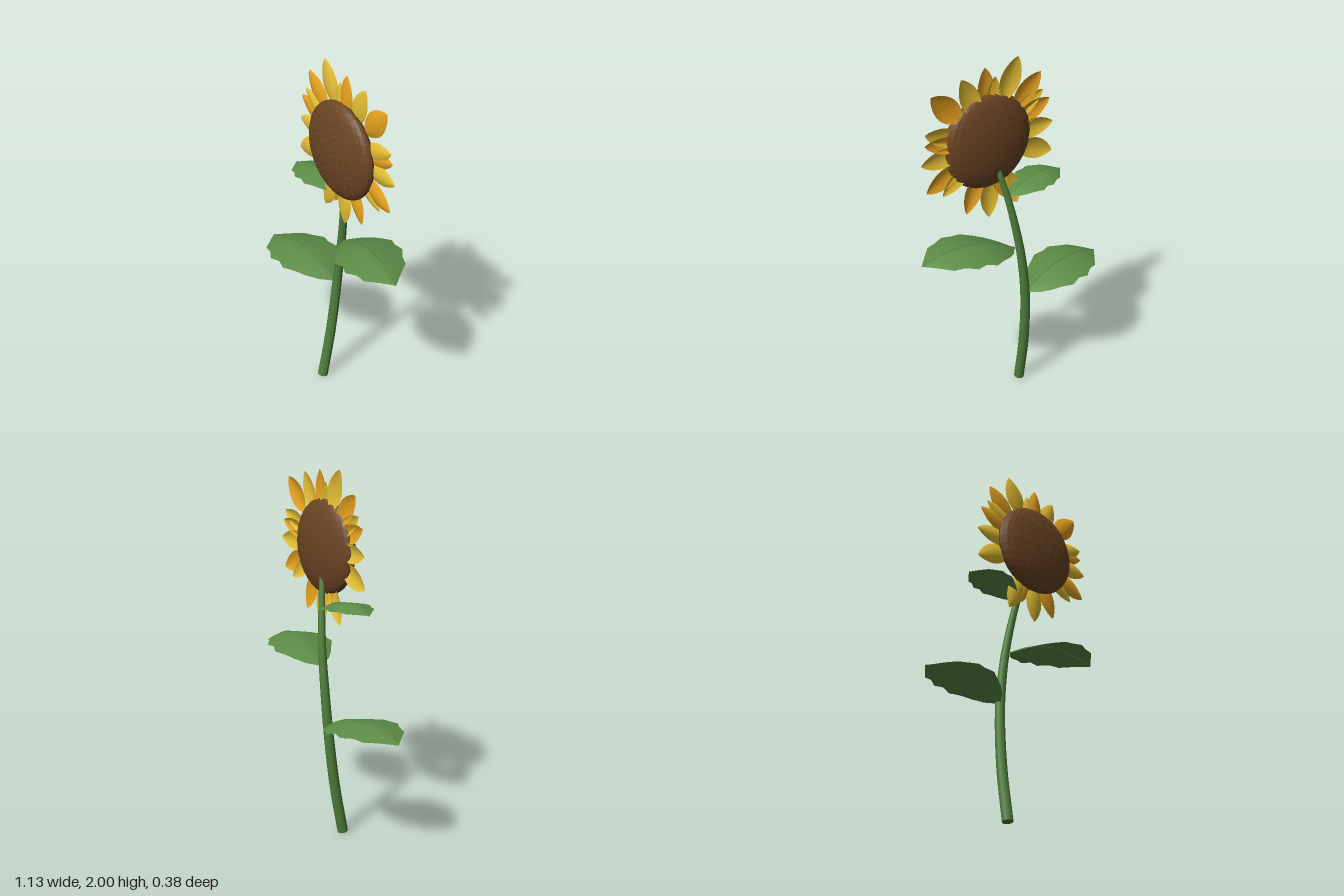
import * as THREE from 'three';

const mat = (name, color, extra = {}) => {
  const m = new THREE.MeshStandardMaterial({ color, ...extra });
  m.name = name;
  return m;
};

// Smooth surface from a rule f(u, v) -> [x, y, z], with u in 0..1 and v in -1..1
function sheet(nu, nv, f) {
  const pos = [], idx = [];
  for (let i = 0; i <= nu; i++)
    for (let j = 0; j <= nv; j++) pos.push(...f(i / nu, (2 * j) / nv - 1));
  for (let i = 0; i < nu; i++)
    for (let j = 0; j < nv; j++) {
      const a = i * (nv + 1) + j, b = a + nv + 1;
      idx.push(a, b, a + 1, b, b + 1, a + 1);
    }
  const g = new THREE.BufferGeometry();
  g.setAttribute('position', new THREE.Float32BufferAttribute(pos, 3));
  g.setIndex(idx);
  g.computeVertexNormals();
  return g;
}

// Half widths of the toothed leaf outline, from base to tip
const LEAF = [0, 0.075, 0.12, 0.15, 0.183, 0.167, 0.182, 0.145, 0.13, 0.065, 0];
function leafWidth(t) {
  const k = Math.min(Math.floor(t * 10 + 1e-6), 9);
  return THREE.MathUtils.lerp(LEAF[k], LEAF[k + 1], t * 10 - k);
}

export function createModel() {
  const model = new THREE.Group();
  const stemGreen = mat('stem green', 0x4f7f3c);
  const leafGreen = mat('leaf green', 0x5c8c46, { side: THREE.DoubleSide });
  const brown = mat('seed brown', 0x6b4423, { flatShading: true });
  const yellow = mat('petal yellow', 0xe6c035, { side: THREE.DoubleSide });
  const orange = mat('petal orange', 0xe8a420, { side: THREE.DoubleSide });
  const add = (name, geo, material, parent = model) => {
    const m = new THREE.Mesh(geo, material);
    m.name = name;
    parent.add(m);
    return m;
  };

  // Stem: curved tube, narrowed towards the flower
  const path = new THREE.CatmullRomCurve3([
    [-0.052, 0.004, 0.052], [-0.047, 0.3, 0.0], [-0.033, 0.62, -0.032], [-0.006, 0.87, -0.038],
    [0.02, 1.03, -0.033], [0.055, 1.22, -0.014], [0.1, 1.42, 0.018],
  ].map((p) => new THREE.Vector3(...p)));
  const SEG = 40, SIDES = 12;
  const tube = new THREE.TubeGeometry(path, SEG, 1, SIDES);
  const P = tube.attributes.position, v = new THREE.Vector3();
  for (let i = 0; i < P.count; i++) {
    const t = Math.floor(i / (SIDES + 1)) / SEG, c = path.getPointAt(t);
    v.fromBufferAttribute(P, i).sub(c).multiplyScalar(0.029 - 0.014 * t * t).add(c);
    P.setXYZ(i, v.x, v.y, v.z);
  }
  tube.computeVertexNormals();
  add('stem', tube, stemGreen);
  for (const t of [0, 1]) {
    const cap = add('stemEnd', new THREE.CircleGeometry(t ? 0.015 : 0.029, SIDES), stemGreen);
    cap.position.copy(path.getPointAt(t));
    cap.lookAt(path.getPointAt(t).addScaledVector(path.getTangentAt(t), t ? 1 : -1));
  }

  // Leaves: arched, with drooping toothed edges and a thin midrib
  const leaves = [
    ['lowerLeaf', -1, 1, [-0.035, 0.645, -0.03]],
    ['middleLeaf', 1, 1, [0.035, 0.957, -0.03]],
    ['upperLeaf', -1, 0.68, [0.055, 1.268, -0.008]],
  ];
  for (const [name, dir, s, base] of leaves) {
    const g = new THREE.Group();
    g.name = name;
    g.position.set(...base);
    g.scale.setScalar(s);
    model.add(g);
    const rib = (t) => [dir * 0.53 * t, 0.045 * t + 0.3 * t * (1 - t), 0.066 * t];
    add(name + 'Blade', sheet(20, 8, (t, q) => {
      const [x, y, z] = rib(t), w = leafWidth(t);
      return [x, y - 0.2 * w * Math.abs(q) ** 1.2, z + dir * w * q];
    }), leafGreen, g);
    const ribCurve = new THREE.CatmullRomCurve3(
      [0, 0.2, 0.4, 0.6, 0.8, 0.99].map((t) => new THREE.Vector3(...rib(t))));
    add(name + 'Midrib', new THREE.TubeGeometry(ribCurve, 16, 0.004, 5), leafGreen, g);
  }

  // Flower head
  const head = new THREE.Group();
  head.name = 'flowerHead';
  head.position.set(0.135, 1.577, 0.064);
  model.add(head);
  add('disc', new THREE.SphereGeometry(0.256, 28, 18), brown, head).scale.z = 0.29;

  // Tiny seeds in a spiral over the front of the disc
  const seeds = new THREE.InstancedMesh(new THREE.ConeGeometry(1, 1, 4), brown, 1);
  const seedGeo = seeds.geometry.rotateX(Math.PI / 2);
  for (let i = 0; i < 110; i++) {
    const r = 0.2 * Math.sqrt((i + 0.5) / 110), a = i * 2.39996;
    const m = add('seed', seedGeo, brown, head);
    m.scale.set(0.005, 0.005, 0.009);
    m.position.set(r * Math.cos(a), r * Math.sin(a), 0.29 * Math.sqrt(0.256 ** 2 - r * r) + 0.001);
  }

  // Petals: [angle in degrees, tip radius, half width, 1 = orange]
  const petals = [
    [112, 0.455, 0.062, 0], [96, 0.35, 0.045, 0], [87, 0.405, 0.05, 1], [67, 0.41, 0.055, 0],
    [45, 0.465, 0.062, 1], [21, 0.395, 0.05, 0], [13, 0.387, 0.045, 1], [-2, 0.4, 0.052, 0],
    [-25, 0.414, 0.055, 1], [-37, 0.36, 0.045, 0], [-68, 0.395, 0.052, 1], [-89, 0.43, 0.055, 0],
    [-104, 0.35, 0.045, 1], [-113, 0.43, 0.055, 0], [202, 0.418, 0.058, 0], [178, 0.388, 0.052, 0],
    [158, 0.397, 0.052, 1], [148, 0.388, 0.045, 0], [135, 0.436, 0.06, 1],
  ];
  petals.forEach(([deg, tip, half, isOrange], i) => {
    const root = tip - 0.24;
    const geo = sheet(14, 6, (t, q) => {
      const w = half * Math.sin(Math.PI * t ** 0.95) ** 0.75;
      return [root + (tip - root) * t, w * q, 0.016 * (1 - q * q) * (w / half)];
    });
    const p = add('petal', geo, isOrange ? orange : yellow, head);
    p.rotation.z = THREE.MathUtils.degToRad(deg);
    p.position.z = -0.026 + (i % 3) * 0.003;
  });
  return model;
}
